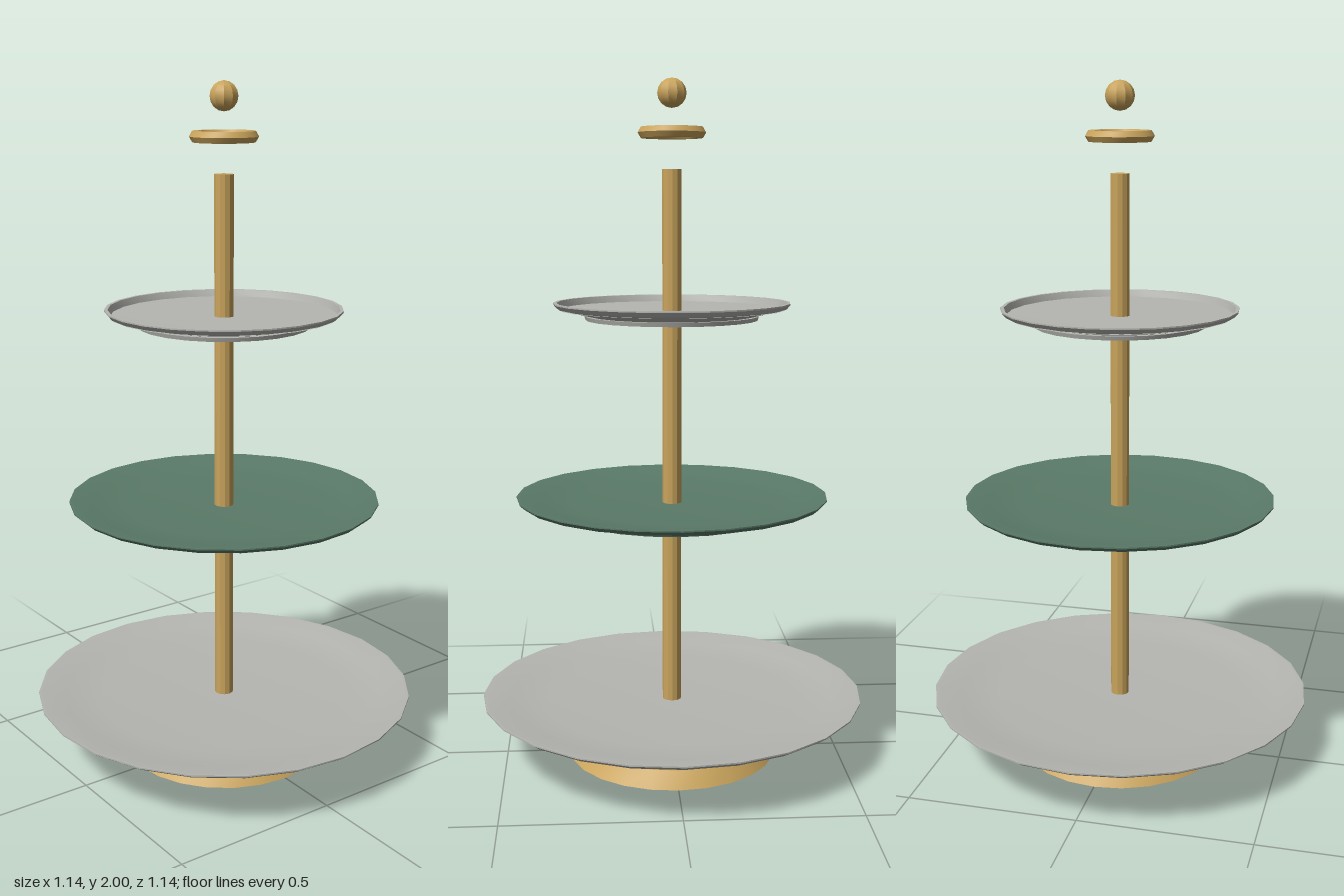
import * as THREE from 'three';
import { toCreasedNormals } from 'three/addons/utils/BufferGeometryUtils.js';

export function createModel() {
  const stand = new THREE.Group();
  stand.name = 'tieredStand';

  const material = (name, color) => {
    const m = new THREE.MeshStandardMaterial({ color });
    m.name = name;
    return m;
  };
  const brass = material('brass', 0xc9a45c);
  const grey = material('greyGlaze', 0xb5b5b1);
  const green = material('greenGlaze', 0x5a7a68);

  const add = (name, geometry, mat, y, parent = stand) => {
    const mesh = new THREE.Mesh(toCreasedNormals(geometry, 0.5), mat);
    mesh.name = name;
    mesh.position.y = y;
    parent.add(mesh);
    return mesh;
  };

  // Base and central rod
  add('base', new THREE.CylinderGeometry(0.275, 0.31, 0.045, 24), brass, 0.0225);
  add('rod', new THREE.CylinderGeometry(0.028, 0.028, 1.705, 12), brass, 0.8925);

  // Plates: a shallow dish on a wider flat foot, held by a washer
  const plate = (name, rim, foot, y, mat, floor) => {
    const group = new THREE.Group();
    group.name = name;
    group.position.y = y;
    stand.add(group);
    const profile = [
      [0, 0.013], [foot * 0.93, 0.013], [rim * 0.97, 0.036], [rim, 0.048],
      [rim, 0.052], [rim - 0.01, 0.052], ...floor, [0, 0.028],
    ].map(([x, h]) => new THREE.Vector2(x, h));
    add('dish', new THREE.LatheGeometry(profile, 24), mat, 0, group);
    add('foot', new THREE.CylinderGeometry(foot, foot * 0.985, 0.012, 24), mat, 0.008, group);
    add('washer', new THREE.CylinderGeometry(0.045, 0.045, 0.008, 12), brass, -0.001, group);
  };
  plate('bottomPlate', 0.57, 0.405, 0.133, grey, [[0.49, 0.037], [0.38, 0.03]]);
  plate('middlePlate', 0.46, 0.33, 0.743, green, [[0.39, 0.037], [0.3, 0.03]]);
  plate('topPlate', 0.345, 0.255, 1.313, grey, [[0.328, 0.032]]);

  // Handle ring and finial ball
  const ring = new THREE.TorusGeometry(0.08, 0.018, 6, 20).rotateX(Math.PI / 2);
  add('handleRing', ring, brass, 1.848);
  add('finialBall', new THREE.SphereGeometry(0.042, 10, 8), brass, 1.958);

  return stand;
}
